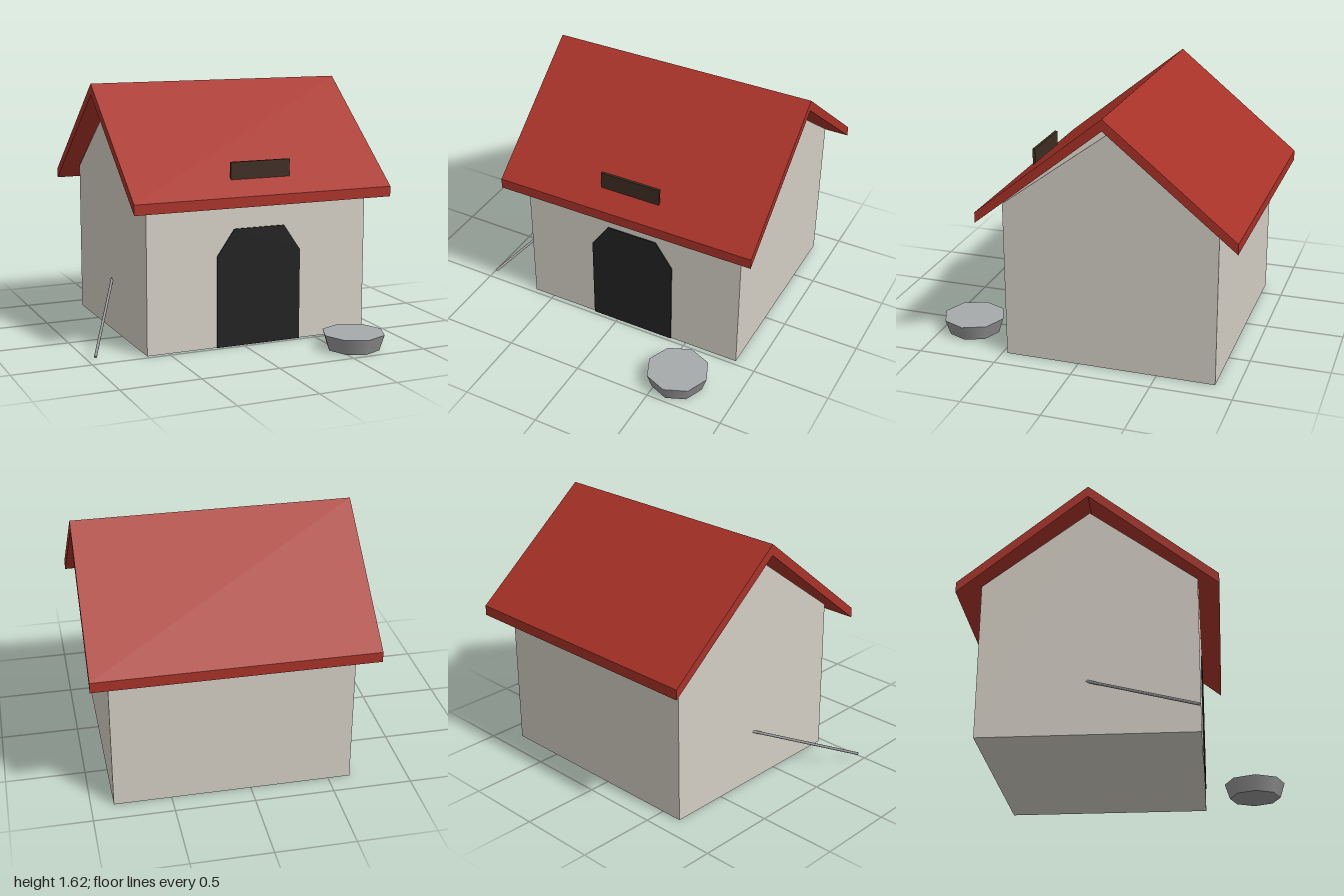
import * as THREE from 'three';

const mat = (name, color) => {
  const m = new THREE.MeshStandardMaterial({ color });
  m.name = name;
  return m;
};

export function createModel() {
  const wall = mat('plaster', 0xd3cec4);
  const red = mat('roofRed', 0xa83228);
  const black = mat('doorBlack', 0x222222);
  const wood = mat('darkWood', 0x3e2c22);
  const metal = mat('metal', 0x969696);
  const fill = mat('bowlTop', 0xa6aaab);

  const group = new THREE.Group();
  const add = (name, geometry, material) => {
    const mesh = new THREE.Mesh(geometry, material);
    mesh.name = name;
    group.add(mesh);
    return mesh;
  };
  const prism = (points, depth) => new THREE.ExtrudeGeometry(
    new THREE.Shape(points.map(([x, y]) => new THREE.Vector2(x, y))),
    { depth, bevelEnabled: false });
  // Gable outlines are given as (z offset from ridge, y), extruded along x
  const alongX = (name, points, x0, x1, material) => {
    const mesh = add(name, prism(points, x1 - x0), material);
    mesh.rotation.y = -Math.PI / 2;
    mesh.position.set(x1, 0, -0.2);
    return mesh;
  };

  // House body with pointed gables on both sides
  alongX('houseBody', [[-0.665, 0], [0.67, 0], [0.67, 1], [0, 1.5], [-0.665, 1]], -0.64, 0.86, wall);

  // Two roof slabs meeting at the ridge
  alongX('roofFront', [[0, 1.55], [0.8, 0.905], [0.8, 0.97], [0, 1.62]], -0.76, 0.975, red);
  alongX('roofBack', [[0, 1.55], [0, 1.62], [-0.8, 0.97], [-0.8, 0.905]], -0.76, 0.975, red);

  // Doorway plate with clipped upper corners
  const door = add('doorway', prism([[-0.175, 0], [0.395, 0], [0.395, 0.585], [0.28, 0.75],
    [-0.06, 0.75], [-0.175, 0.585]], 0.008), black);
  door.position.z = 0.47;

  // Blank name board standing out of the front roof
  const sign = add('nameBoard', new THREE.BoxGeometry(0.4, 0.14, 0.018), wood);
  sign.position.set(0.11, 1.1, 0.479);

  // Food bowl: smooth sides, flat top
  const bowl = add('bowl', new THREE.CylinderGeometry(0.2, 0.168, 0.1, 8), [metal, fill, metal]);
  bowl.position.set(0.61, 0.05, 0.8);

  // Tether rod running from the side wall to the ground
  const a = new THREE.Vector3(-0.97, 0.035, 0.465);
  const b = new THREE.Vector3(-0.63, 0.345, -0.21);
  const dir = b.clone().sub(a);
  const rod = add('tetherRod', new THREE.CylinderGeometry(0.009, 0.009, dir.length(), 8), metal);
  rod.position.copy(a).add(b).multiplyScalar(0.5);
  rod.quaternion.setFromUnitVectors(new THREE.Vector3(0, 1, 0), dir.normalize());

  return group;
}
